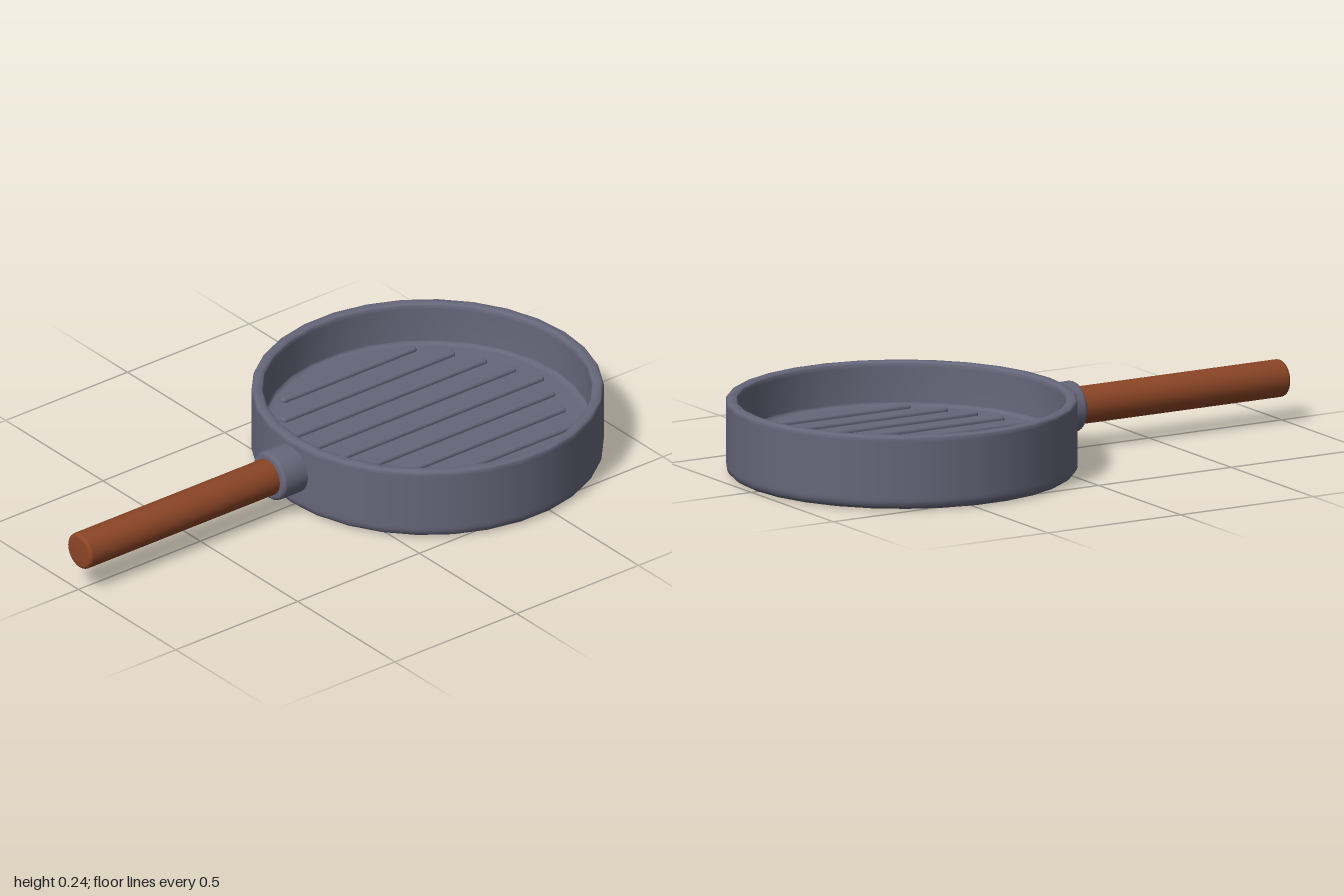
import * as THREE from 'three';
import { toCreasedNormals } from 'three/addons/utils/BufferGeometryUtils.js';
import { RoundedBoxGeometry } from 'three/addons/geometries/RoundedBoxGeometry.js';

const PAN_X = 0.433;
const GRIP_Y = 0.139;

// Quarter-round corner of a profile, angles in units of a right angle
function corner(cx, cy, r, from, to, steps = 4) {
  const pts = [];
  for (let i = 0; i <= steps; i++) {
    const a = (from + (to - from) * (i / steps)) * Math.PI / 2;
    pts.push([cx + r * Math.cos(a), cy + r * Math.sin(a)]);
  }
  return pts;
}

function lathe(profile, segments) {
  const points = profile.map(([r, y]) => new THREE.Vector2(Math.max(r, 0), y));
  return toCreasedNormals(new THREE.LatheGeometry(points, segments, Math.PI / 2), 0.6);
}

// Solid bar along x with rounded ends
function roundBar(radius, x0, x1, bevel) {
  const len = x1 - x0;
  const inner = radius - bevel;
  const geo = lathe([
    [0, 0], [inner - 0.004, 0],
    ...corner(inner, bevel, bevel, -1, 0),
    [radius, bevel + 0.004], [radius, len - bevel - 0.004],
    ...corner(inner, len - bevel, bevel, 0, 1),
    [inner - 0.004, len], [0, len],
  ], 28);
  geo.rotateZ(-Math.PI / 2);
  geo.translate(x0, GRIP_Y, 0);
  return geo;
}

export function createModel() {
  const model = new THREE.Group();
  model.name = 'grillPan';

  const iron = new THREE.MeshStandardMaterial({ color: 0x66667a });
  iron.name = 'castIron';
  const wood = new THREE.MeshStandardMaterial({ color: 0x8b4526 });
  wood.name = 'wood';

  const add = (name, geometry, material, parent = model) => {
    const mesh = new THREE.Mesh(geometry, material);
    mesh.name = name;
    parent.add(mesh);
    return mesh;
  };

  // Pan body: base, outer wall, rounded rim, inner wall and cooking floor
  const R = 0.566, H = 0.244, IN = 0.528, FLOOR = 0.1;
  const body = add('panBody', lathe([
    [0, 0], [R - 0.04, 0],
    ...corner(R - 0.03, 0.03, 0.03, -1, 0),
    [R, 0.04], [R, H - 0.018],
    ...corner(R - 0.012, H - 0.012, 0.012, 0, 1),
    ...corner(IN + 0.012, H - 0.012, 0.012, 1, 2),
    [IN, H - 0.018], [IN - 0.002, FLOOR + 0.016],
    ...corner(IN - 0.014, FLOOR + 0.012, 0.012, 0, -1),
    [IN - 0.024, FLOOR], [0, FLOOR],
  ], 30), iron);
  body.position.x = PAN_X;

  // Raised grill ribs, shorter towards the wall
  const ribs = new THREE.Group();
  ribs.name = 'grillRibs';
  ribs.position.set(PAN_X - 0.004, FLOOR, 0);
  model.add(ribs);
  const halfLengths = [0.476, 0.441, 0.404, 0.353, 0.275];
  for (let i = -4; i <= 4; i++) {
    const geo = new RoundedBoxGeometry(halfLengths[Math.abs(i)] * 2, 0.028, 0.028, 3, 0.01);
    add('rib', geo, iron, ribs).position.z = i * 0.101;
  }

  // Handle socket and wooden grip
  add('handleCollar', roundBar(0.083, -0.222, -0.105, 0.014), iron);
  add('handle', roundBar(0.061, -1, -0.18, 0.012), wood);

  return model;
}
